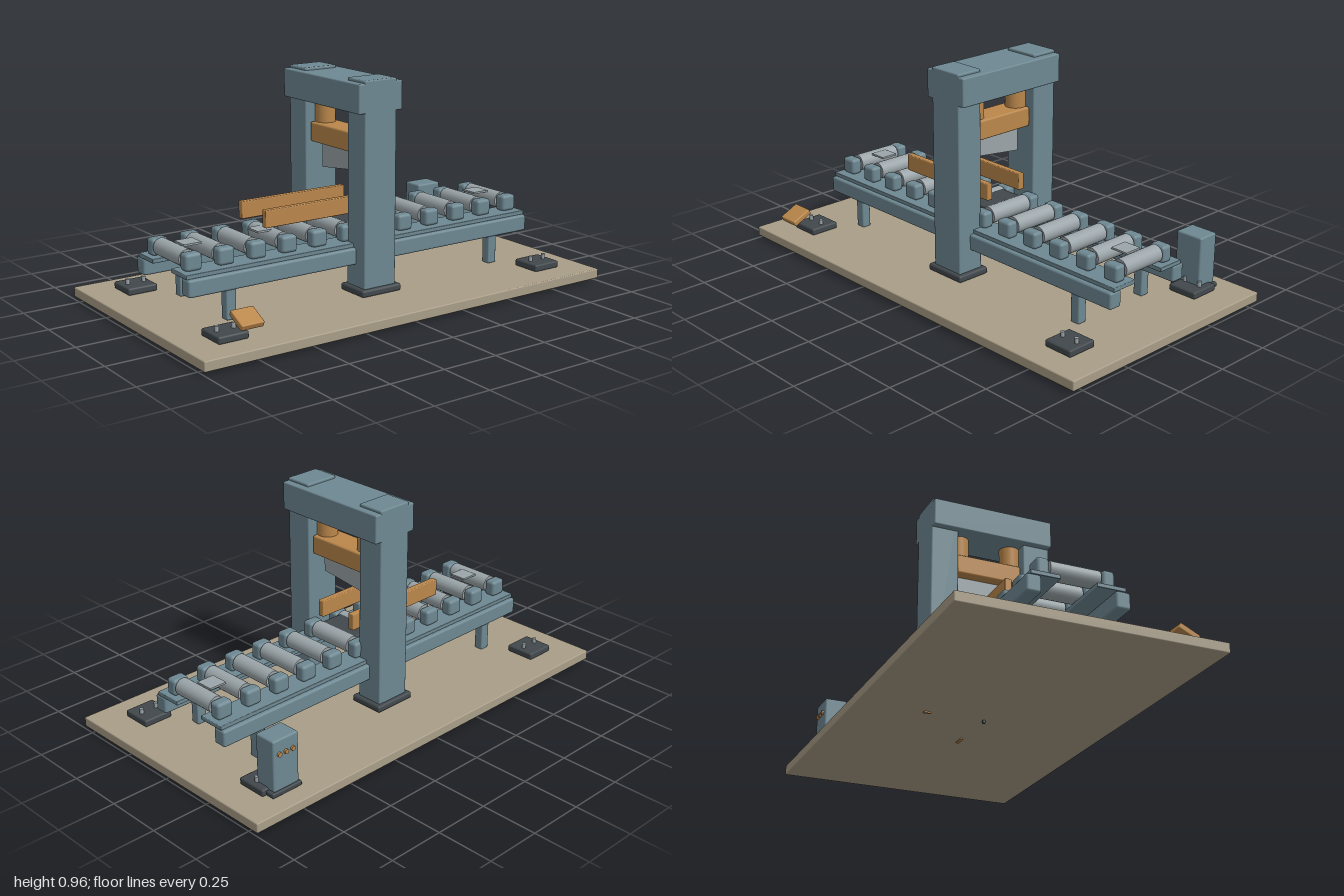
import * as THREE from 'three';
import { RoundedBoxGeometry } from 'three/addons/geometries/RoundedBoxGeometry.js';

const mat = (name, color) => {
  const m = new THREE.MeshStandardMaterial({ color });
  m.name = name;
  return m;
};

export function createModel() {
  const root = new THREE.Group();
  root.name = 'conveyorPress';
  const blue = mat('blueGrey', 0x6e8892);
  const orange = mat('orange', 0xba874b);
  const dark = mat('charcoal', 0x41484c);
  const steel = mat('steel', 0x9ba5a9);
  const tan = mat('tan', 0xa89d87);

  const add = (name, geo, material, x = 0, y = 0, z = 0) => {
    const m = new THREE.Mesh(geo, material);
    m.name = name;
    m.position.set(x, y, z);
    root.add(m);
    return m;
  };
  // Bevelled box given by its lower and upper limits on each axis
  const box = (name, material, [x0, x1], [y0, y1], [z0, z1], r = 0.006) => {
    const s = [x1 - x0, y1 - y0, z1 - z0];
    const geo = r > 0 ? new RoundedBoxGeometry(...s, 2, Math.min(r, Math.min(...s) * 0.45))
      : new THREE.BoxGeometry(...s);
    return add(name, geo, material, (x0 + x1) / 2, (y0 + y1) / 2, (z0 + z1) / 2);
  };
  // Limits of an interval mirrored by sign
  const side = (s, a, b) => (s > 0 ? [a, b] : [-b, -a]);
  const SIDES = [1, -1];

  // Base slab with small marks underneath
  box('base', tan, [-1, 1], [0.012, 0.055], [-0.55, 0.55], 0.005);
  box('undersideMark', orange, [0.23, 0.28], [0.006, 0.014], [-0.006, 0.006], 0);
  box('undersideMark', orange, [-0.006, 0.006], [0.006, 0.014], [-0.265, -0.235], 0);
  box('undersidePeg', dark, [-0.006, 0.006], [0, 0.014], [-0.006, 0.006], 0);

  // Press frame
  for (const s of SIDES) {
    box('columnFoot', dark, [-0.1, 0.1], [0.055, 0.086], side(s, 0.133, 0.292), 0.01);
    box('column', blue, [-0.08, 0.08], [0.08, 0.957], side(s, 0.152, 0.275));
    add('pressCylinder', new THREE.CylinderGeometry(0.044, 0.044, 0.16, 32), orange, 0, 0.752, s * 0.12);
  }
  box('crossBeam', blue, [-0.11, 0.11], [0.822, 0.945], [-0.275, 0.275]);
  box('pressHead', orange, [-0.06, 0.06], [0.64, 0.725], [-0.148, 0.148], 0.008);

  // Slanted blade, drawn in the z-y plane
  const outline = new THREE.Shape([[-0.126, 0.555], [0.124, 0.525], [0.124, 0.65], [-0.126, 0.65]]
    .map(([u, v]) => new THREE.Vector2(u, v)));
  const bladeGeo = new THREE.ExtrudeGeometry(outline, { depth: 0.024, bevelEnabled: false });
  bladeGeo.translate(0, 0, -0.012).rotateY(Math.PI / 2);
  add('blade', bladeGeo, steel);

  // Anvil under the blade
  box('anvil', dark, [-0.09, 0.09], [0.27, 0.335], [-0.1, 0.1]);
  box('anvilStem', steel, [-0.005, 0.005], [0.24, 0.275], [-0.005, 0.005], 0);

  // Conveyor rails, legs and infeed guides
  for (const s of SIDES) {
    box('rail', blue, [-0.87, 0.87], [0.178, 0.25], side(s, 0.153, 0.215), 0.01);
    box('railFlange', blue, [-0.87, 0.87], [0.249, 0.267], side(s, 0.075, 0.197), 0.003);
    for (const t of SIDES) {
      box('conveyorLeg', blue, side(t, 0.655, 0.7), [0.055, 0.182], side(s, 0.165, 0.208));
    }
    box('infeedGuide', orange, [-0.45, 0.07], [0.368, 0.442], side(s, 0.077, 0.106), 0.004);
  }

  // Rollers with a bearing block at each end
  const rollerGeo = new THREE.CylinderGeometry(0.037, 0.037, 0.21, 24).rotateX(Math.PI / 2);
  const axleGeo = new THREE.CylinderGeometry(0.014, 0.014, 0.29, 12).rotateX(Math.PI / 2);
  const bearingGeo = new RoundedBoxGeometry(0.074, 0.072, 0.053, 2, 0.014);
  for (let i = 0; i < 12; i++) {
    const x = (i - 5.5) * 0.148;
    add('roller', rollerGeo, steel, x, 0.305, 0);
    add('rollerAxle', axleGeo, steel, x, 0.305, 0);
    for (const s of SIDES) add('bearingBlock', bearingGeo, blue, x, 0.302, s * 0.136);
  }
  for (const x of [-0.75, -0.408, 0.75]) {
    box('sensorPlate', steel, [x - 0.04, x + 0.04], [0.333, 0.341], [-0.04, 0.04], 0);
  }

  // Corner pads with bolts
  const boltGeo = new THREE.CylinderGeometry(0.009, 0.009, 0.03, 12);
  for (const s of SIDES) for (const t of SIDES) {
    box('cornerPad', dark, side(t, 0.735, 0.87), [0.055, 0.086], side(s, 0.297, 0.432), 0.008);
    for (const dx of [-0.037, 0.037]) {
      add('padBolt', boltGeo, steel, t * 0.802 + dx, 0.093, s * 0.365);
    }
  }

  // Control cabinet with buttons on its back
  box('cabinetFoot', dark, [0.7, 0.85], [0.055, 0.076], [-0.47, -0.35]);
  box('cabinet', blue, [0.71, 0.838], [0.074, 0.297], [-0.463, -0.363], 0.008);
  const buttonGeo = new THREE.CylinderGeometry(0.01, 0.01, 0.014, 12).rotateX(Math.PI / 2);
  for (const x of [0.742, 0.776, 0.81]) add('cabinetButton', buttonGeo, orange, x, 0.236, -0.465);

  // Tilted control panel at the front corner
  const panel = add('controlPanel', new RoundedBoxGeometry(0.1, 0.026, 0.094, 2, 0.005), orange,
    -0.78, 0.16, 0.489);
  panel.rotation.x = 0.45;

  return root;
}
